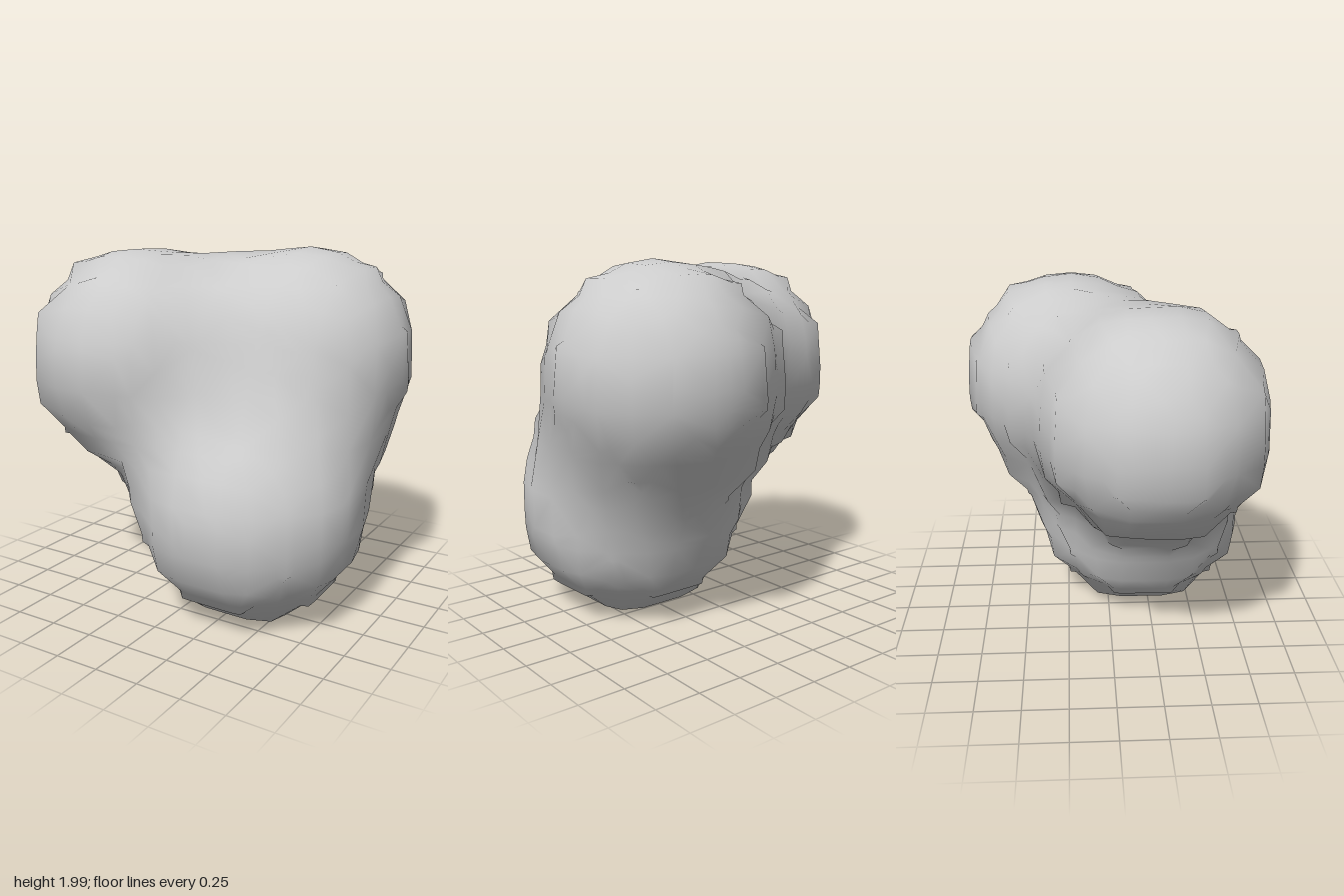
import * as THREE from 'three';
import { mergeVertices } from 'three/addons/utils/BufferGeometryUtils.js';

// Three soft balls that melt together: centre and radius of influence
const BALLS = [
  { c: new THREE.Vector3(-0.405, 1.375, 0.23), r: 1.05 },
  { c: new THREE.Vector3(0.4, 1.378, -0.223), r: 1.05 },
  { c: new THREE.Vector3(0.295, 0.597, 0.207), r: 1.07 },
];
const LEVEL = 0.6;
const STEP = 0.267;
const ORIGIN = new THREE.Vector3(0.157, 0.47, 0.066);

// Positive inside the blob, negative outside
function field(p) {
  let sum = -LEVEL;
  for (const { c, r } of BALLS) sum += 2 * Math.max(0, 1 - p.distanceToSquared(c) / (r * r)) ** 3;
  return sum;
}

// Outward surface direction
function normalAt(p) {
  const n = new THREE.Vector3();
  for (const { c, r } of BALLS) {
    const d = p.clone().sub(c);
    n.addScaledVector(d, Math.max(0, 1 - d.lengthSq() / (r * r)) ** 2 / (r * r));
  }
  return n.normalize();
}

// The triangle or quad that the surface cuts out of a tetrahedron
function cutTetrahedron(corners, values) {
  const points = [];
  for (let a = 0; a < 4; a++) {
    for (let b = a + 1; b < 4; b++) {
      if (values[a] > 0 === values[b] > 0) continue;
      points.push(corners[a].clone().lerp(corners[b], values[a] / (values[a] - values[b])));
    }
  }
  if (points.length < 3) return [];

  // Sort the points counter-clockwise as seen from outside
  const mean = new THREE.Vector3();
  points.forEach((p) => mean.addScaledVector(p, 1 / points.length));
  const n = normalAt(mean);
  const u = new THREE.Vector3();
  u.setComponent(Math.abs(n.x) < 0.6 ? 0 : 1, 1);
  u.cross(n).normalize();
  const v = n.clone().cross(u);
  const angle = (p) => {
    const d = p.clone().sub(mean);
    return Math.atan2(d.dot(v), d.dot(u));
  };
  return points.sort((a, b) => angle(a) - angle(b));
}

// Each grid cell splits into six tetrahedra that fan out from its innermost corner
function cellPolygons(i, j, k) {
  const ids = [0, 1, 2, 3, 4, 5, 6, 7];
  const corners = ids.map((n) =>
    new THREE.Vector3(i + (n & 1), j + ((n >> 1) & 1), k + (n >> 2)).multiplyScalar(STEP).add(ORIGIN));
  const values = corners.map(field);
  const innermost = (list) => list.reduce((a, b) => (values[b] > values[a] ? b : a));
  const apex = innermost(ids);
  const polygons = [];
  for (const bit of [1, 2, 4]) {
    const pivot = innermost(ids.filter((n) => (n & bit) !== (apex & bit)));
    const opposite = pivot ^ (7 - bit);
    for (const side of [1, 2, 4].filter((s) => s !== bit)) {
      const tetra = [apex, pivot, pivot ^ side, opposite];
      polygons.push(cutTetrahedron(tetra.map((n) => corners[n]), tetra.map((n) => values[n])));
    }
  }
  return polygons;
}

function blobGeometry() {
  const positions = [], normals = [];
  for (let i = -7; i < 6; i++) {
    for (let j = -4; j < 8; j++) {
      for (let k = -6; k < 6; k++) {
        for (const poly of cellPolygons(i, j, k)) {
          for (let t = 2; t < poly.length; t++) {
            for (const p of [poly[0], poly[t - 1], poly[t]]) {
              positions.push(p.x, p.y, p.z);
              normals.push(...normalAt(p).toArray());
            }
          }
        }
      }
    }
  }
  const geometry = new THREE.BufferGeometry();
  geometry.setAttribute('position', new THREE.Float32BufferAttribute(positions, 3));
  geometry.setAttribute('normal', new THREE.Float32BufferAttribute(normals, 3));
  return mergeVertices(geometry);
}

export function createModel() {
  const group = new THREE.Group();
  group.name = 'softBlob';
  const blob = new THREE.Mesh(blobGeometry(), new THREE.MeshStandardMaterial({ color: 0xcccccc }));
  blob.name = 'mergedBalls';
  group.add(blob);
  return group;
}
